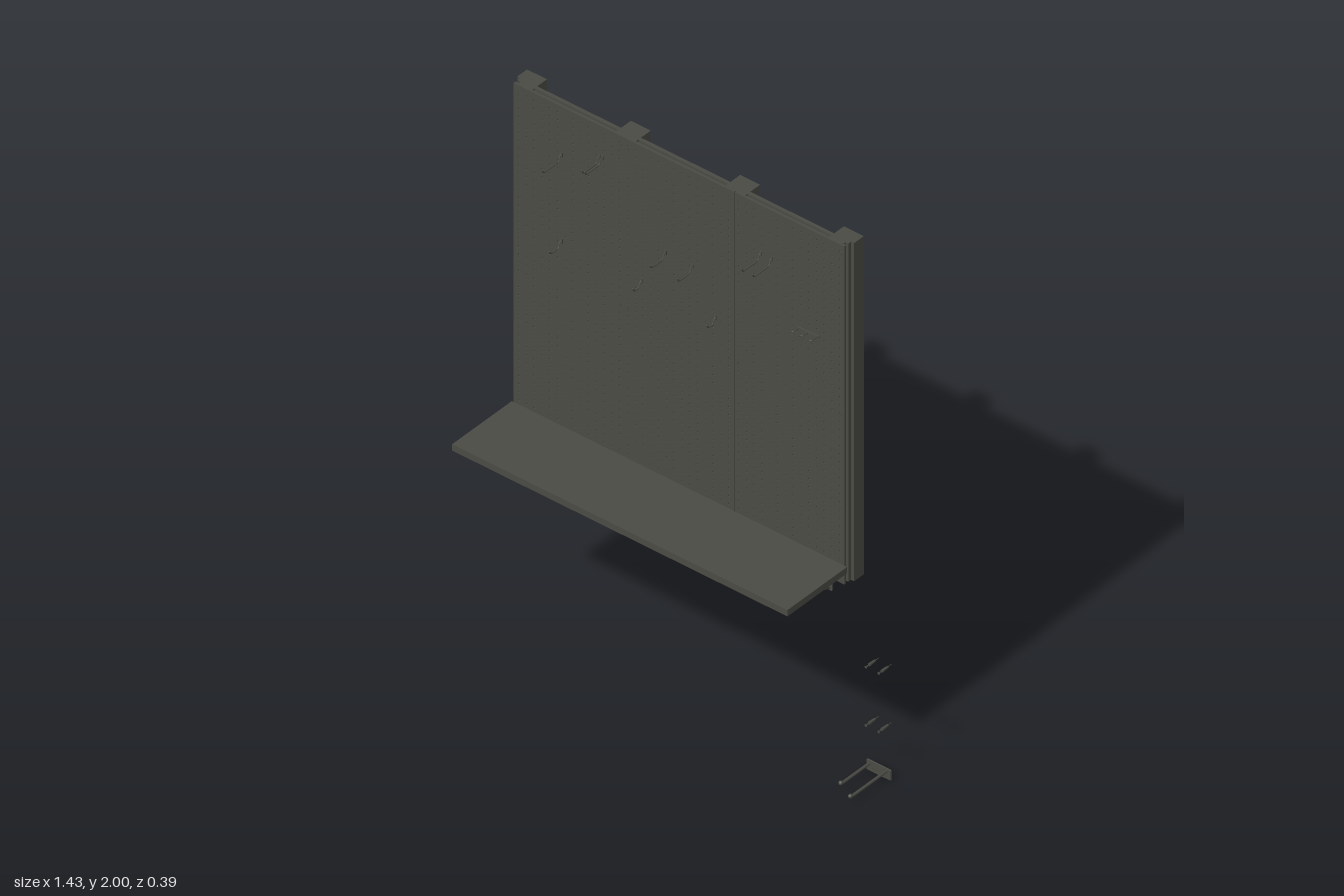
import * as THREE from 'three';

const charcoal = new THREE.MeshStandardMaterial({ color: 0x4b4b45 });
charcoal.name = 'charcoal';

function add(parent, name, geometry, x = 0, y = 0, z = 0) {
  const mesh = new THREE.Mesh(geometry, charcoal);
  mesh.name = name;
  mesh.position.set(x, y, z);
  parent.add(mesh);
  return mesh;
}

// Box given by its minimum and maximum on each axis
function block(parent, name, [x0, x1], [y0, y1], [z0, z1]) {
  return add(parent, name, new THREE.BoxGeometry(x1 - x0, y1 - y0, z1 - z0),
    (x0 + x1) / 2, (y0 + y1) / 2, (z0 + z1) / 2);
}

// Flat bar bent through [z, y] points
function strap(parent, name, x, width, thick, points) {
  for (let i = 1; i < points.length; i++) {
    const [z0, y0] = points[i - 1], [z1, y1] = points[i];
    const length = Math.hypot(z1 - z0, y1 - y0) + thick;
    const bar = add(parent, name, new THREE.BoxGeometry(width, thick, length), x, (y0 + y1) / 2, (z0 + z1) / 2);
    bar.rotation.x = -Math.atan2(y1 - y0, z1 - z0);
  }
}

// Round wire bent through [z, y] points
function wire(parent, name, x, points, radius = 0.0025) {
  const path = new THREE.CurvePath();
  const v = points.map(([z, y]) => new THREE.Vector3(0, y, z));
  for (let i = 1; i < v.length; i++) path.add(new THREE.LineCurve3(v[i - 1], v[i]));
  const curve = new THREE.CatmullRomCurve3(v, false, 'catmullrom', 0.2);
  add(parent, name, new THREE.TubeGeometry(curve, 20, radius, 6), x);
  const [z, y] = points[points.length - 1];
  add(parent, name + 'Tip', new THREE.SphereGeometry(radius, 6, 5), x, y, z);
}

// Screw along z, with its head at the front
function screw(parent, x, y, front, back) {
  const shaft = new THREE.CylinderGeometry(0.0025, 0.001, front - back, 8).rotateX(Math.PI / 2);
  add(parent, 'screwShaft', shaft, x, y, (front + back) / 2);
  const head = new THREE.CylinderGeometry(0.005, 0.003, 0.004, 10).rotateX(Math.PI / 2);
  add(parent, 'screwHead', head, x, y, front);
}

// Perforated sheet with a regular grid of round holes
function pegboard(parent, name, x0, x1, y0, y1, columns, rows) {
  const pitch = 0.0305, radius = 0.0037;
  const shape = new THREE.Shape([[x0, y0], [x1, y0], [x1, y1], [x0, y1]].map(p => new THREE.Vector2(...p)));
  for (let r = 0; r < rows; r++) {
    for (let c = 0; c < columns; c++) {
      const cx = (x0 + x1) / 2 + (c - (columns - 1) / 2) * pitch;
      const cy = (y0 + y1) / 2 + (r - (rows - 1) / 2) * pitch;
      const ring = [];
      for (let k = 0; k < 8; k++) {
        const a = -(k + 0.5) * Math.PI / 4;
        ring.push(new THREE.Vector2(cx + radius * Math.cos(a), cy + radius * Math.sin(a)));
      }
      shape.holes.push(new THREE.Path(ring));
    }
  }
  add(parent, name, new THREE.ExtrudeGeometry(shape, { depth: 0.009, bevelEnabled: false }), 0, 0, -0.097);
}

export function createModel() {
  const model = new THREE.Group();
  model.name = 'pegboardWall';

  // Upright studs with the backing sheet and spacers
  const studs = [-0.676, -0.269, 0.16, 0.567];
  const wall = [0.725, 2];
  for (const x of studs) {
    block(model, 'stud', [x - 0.039, x + 0.039], wall, [-0.166, -0.12]);
    block(model, 'spacer', [Math.max(x - 0.039, -0.69), Math.min(x + 0.039, 0.583)], wall, [-0.107, -0.097]);
  }
  block(model, 'backingSheet', [-0.703, 0.594], wall, [-0.12, -0.107]);

  // Two perforated sheets that meet at a seam
  pegboard(model, 'leftPegboard', -0.703, 0.1625, ...wall, 28, 41);
  pegboard(model, 'rightPegboard', 0.1645, 0.594, ...wall, 14, 41);

  // Screws through the sheets into the studs
  for (const x of [-0.688, -0.284, -0.254, 0.145, 0.176, 0.581]) {
    for (const y of [0.783, 1.36, 1.965]) screw(model, x, y, -0.087, -0.19);
  }

  // Shelf and its two brackets
  block(model, 'shelf', [-0.71, 0.605], [0.773, 0.797], [-0.088, 0.195]);
  for (const x of [-0.573, 0.467]) {
    const bracket = new THREE.Group();
    bracket.name = 'shelfBracket';
    model.add(bracket);
    strap(bracket, 'bracketStrap', x, 0.036, 0.005,
      [[0.17, 0.77], [-0.072, 0.77], [-0.072, 0.712], [-0.163, 0.712], [-0.163, 0.61]]);
    strap(bracket, 'bracketBrace', x, 0.022, 0.008, [[0.165, 0.766], [-0.158, 0.617]]);
    for (const y of [0.69, 0.643]) screw(bracket, x, y, -0.158, -0.195);
  }

  // Wire hooks: x, y and how far each one reaches forward
  const hooks = [
    [-0.366, 1.865, -0.004], [-0.355, 1.865, -0.004], [-0.515, 1.8, 0.004], [0.267, 1.8, 0.004],
    [0.31, 1.8, 0.004], [-0.107, 1.625, -0.015], [0.0, 1.625, -0.015], [-0.515, 1.475, -0.03],
    [-0.2, 1.475, -0.045], [0.09, 1.475, -0.045],
  ];
  for (const [x, y, reach] of hooks) {
    wire(model, 'pegHook', x,
      [[-0.1, y + 0.022], [-0.082, y + 0.02], [-0.072, y], [reach - 0.008, y], [reach, y + 0.012]]);
    block(model, 'hookPlate', [x - 0.005, x + 0.005], [y + 0.012, y + 0.028], [-0.088, -0.085]);
  }

  // Tool holder: a narrow rail with three rings
  block(model, 'toolRail', [0.415, 0.497], [1.61, 1.616], [-0.087, -0.082]);
  for (const x of [0.42, 0.455, 0.49]) {
    wire(model, 'toolArm', x, [[-0.1, 1.613], [-0.08, 1.613], [-0.058, 1.613]]);
    add(model, 'toolRing', new THREE.TorusGeometry(0.008, 0.002, 5, 12).rotateX(Math.PI / 2), x, 1.613, -0.05);
  }

  // Cup hook under the shelf
  wire(model, 'cupHook', 0.0,
    [[0.002, 0.775], [0.002, 0.745], [0.008, 0.732], [0.022, 0.732], [0.03, 0.74]], 0.002);

  // Separate two-pronged holder, low at the side
  const holder = new THREE.Group();
  holder.name = 'prongHolder';
  model.add(holder);
  block(holder, 'holderPlate', [0.62, 0.714], [0, 0.037], [-0.168, -0.162]);
  for (const [x, reach] of [[0.632, -0.025], [0.697, 0.008]]) {
    wire(holder, 'prong', x, [[-0.164, 0.028], [-0.1, 0.028], [reach - 0.008, 0.028], [reach, 0.032]], 0.005);
    add(holder, 'prongEnd', new THREE.SphereGeometry(0.0075, 10, 8), x, 0.032, reach);
  }
  for (const x of [0.645, 0.697]) screw(holder, x, 0.012, -0.16, -0.187);

  // Loose screws with wall plugs above the holder
  for (const x of [0.645, 0.695]) {
    for (const y of [0.195, 0.415]) {
      screw(model, x, y, -0.13, -0.19);
      add(model, 'wallPlug', new THREE.CylinderGeometry(0.0055, 0.004, 0.028, 8).rotateX(Math.PI / 2), x, y, -0.158);
    }
  }

  return model;
}
